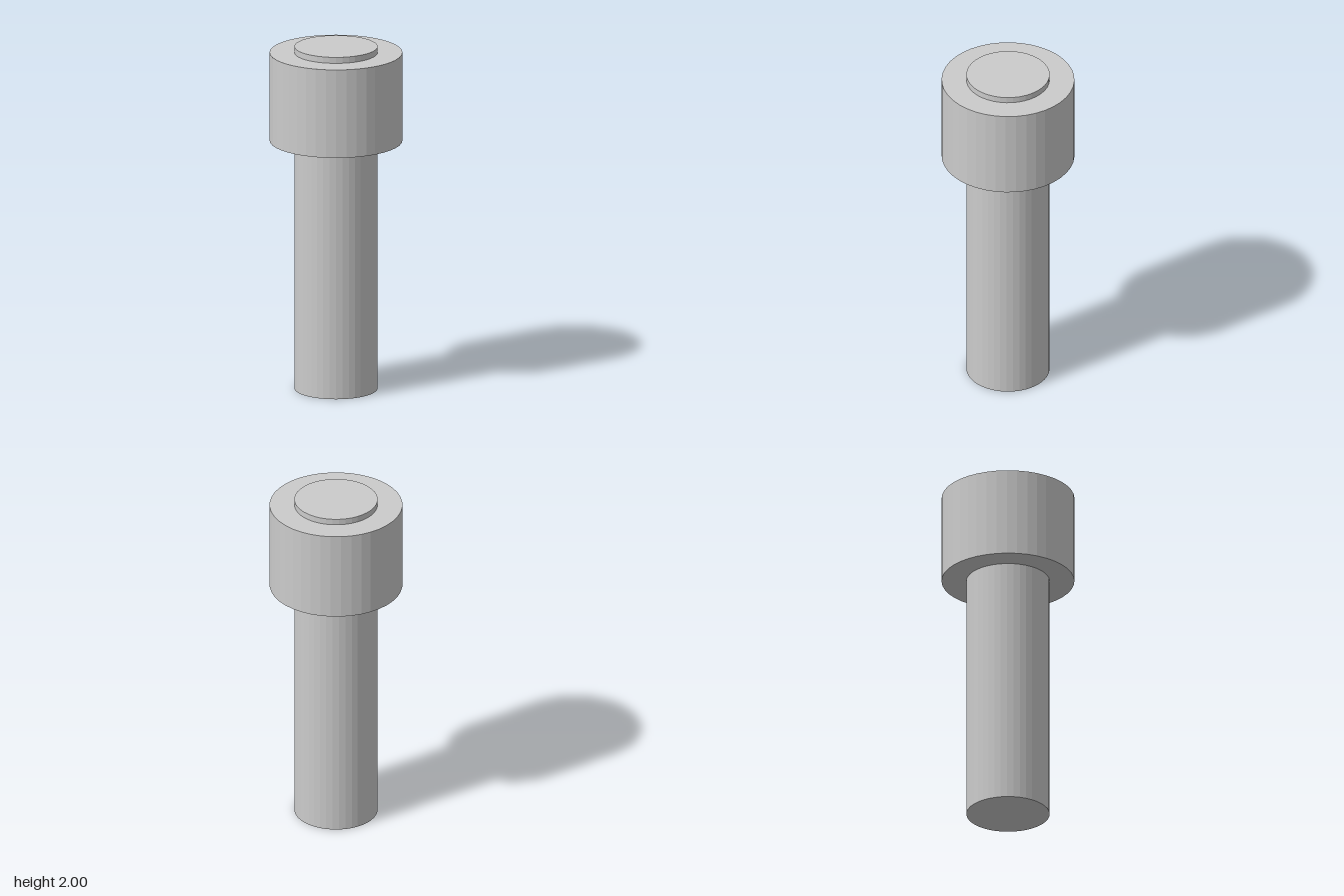
import * as THREE from 'three';

const SIDES = 40;

export function createModel() {
  const group = new THREE.Group();
  const material = new THREE.MeshStandardMaterial({ color: 0xcccccc, flatShading: true });

  // Upright cylinder between two heights
  const addCylinder = (name, radius, bottom, top) => {
    const geometry = new THREE.CylinderGeometry(radius, radius, top - bottom, SIDES);
    const mesh = new THREE.Mesh(geometry, material);
    mesh.name = name;
    mesh.position.y = (bottom + top) / 2;
    group.add(mesh);
  };

  // Long pin running through the collar and standing slightly proud of it
  addCylinder('shaft', 0.235, 0, 2);
  // Wide head around the upper end
  addCylinder('collar', 0.375, 1.45, 1.965);

  return group;
}
